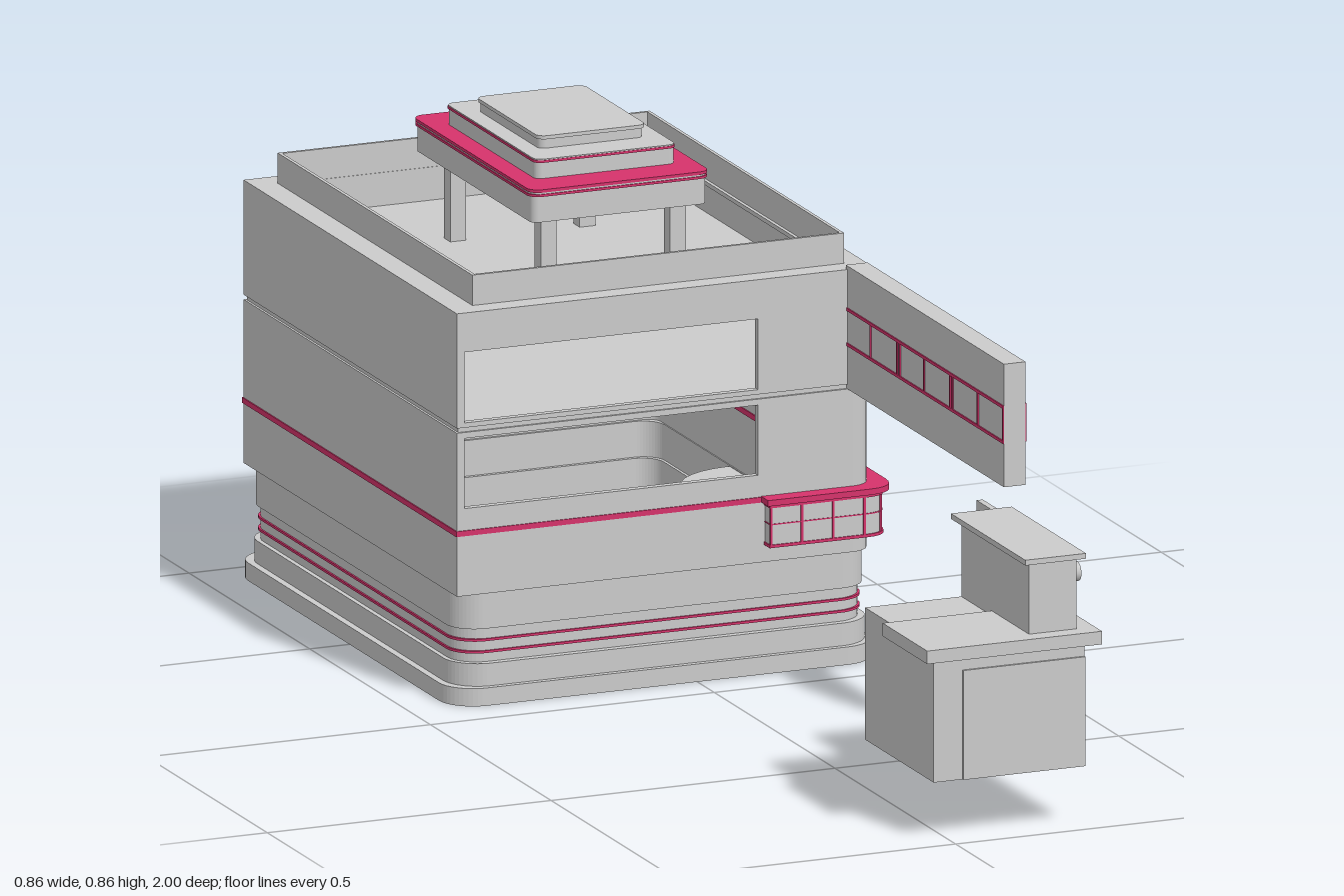
import * as THREE from 'three';

const grey = new THREE.MeshStandardMaterial({ color: 0xcccccc, side: THREE.DoubleSide });
const pink = new THREE.MeshStandardMaterial({ color: 0xd6336c, side: THREE.DoubleSide });
const CZ = -0.525; // building centre line

export function createModel() {
  const model = new THREE.Group();
  let part;
  const group = (name) => { part = new THREE.Group(); part.name = name; model.add(part); };
  const add = (name, geo, mat = grey) => {
    const m = new THREE.Mesh(geo, mat);
    m.name = name;
    part.add(m);
    return m;
  };
  // Box given by its limits
  const box = (name, x0, x1, y0, y1, z0, z1, mat) =>
    add(name, new THREE.BoxGeometry(x1 - x0, y1 - y0, z1 - z0), mat)
      .position.set((x0 + x1) / 2, (y0 + y1) / 2, (z0 + z1) / 2);
  // Rounded plan outline; rl and rr are the radii of the left-hand and right-hand ends
  const outline = (P, x0, x1, z0, z1, rl, rr) => {
    const p = new P(), a = -z1, b = -z0;
    p.moveTo(x0 + rl, a);
    p.lineTo(x1 - rr, a);
    if (rr) p.absarc(x1 - rr, a + rr, rr, -Math.PI / 2, 0);
    p.lineTo(x1, b - rr);
    if (rr) p.absarc(x1 - rr, b - rr, rr, 0, Math.PI / 2);
    p.lineTo(x0 + rl, b);
    if (rl) p.absarc(x0 + rl, b - rl, rl, Math.PI / 2, Math.PI);
    p.lineTo(x0, a + rl);
    if (rl) p.absarc(x0 + rl, a + rl, rl, Math.PI, Math.PI * 1.5);
    return p;
  };
  const extrude = (shape, depth) =>
    new THREE.ExtrudeGeometry(shape, { depth, bevelEnabled: false, curveSegments: 6 });
  const raise = (name, shape, y0, y1, mat) =>
    add(name, extrude(shape, y1 - y0).rotateX(-Math.PI / 2), mat).position.y = y0;
  const slab = (name, x0, x1, z0, z1, y0, y1, rl, rr = rl, mat) =>
    raise(name, outline(THREE.Shape, x0, x1, z0, z1, rl, rr), y0, y1, mat);
  const ring = (name, x0, x1, z0, z1, y0, y1, rl, rr, mat, t = 0.012) => {
    const s = outline(THREE.Shape, x0, x1, z0, z1, rl, rr);
    s.holes.push(outline(THREE.Path, x0 + t, x1 - t, z0 + t, z1 - t, Math.max(rl - t, 0), Math.max(rr - t, 0)));
    raise(name, s, y0, y1, mat);
  };
  // Upright panel with rectangular holes [a0, a1, b0, b1]
  const panel = (a0, a1, b0, b1, holes, t) => {
    const rect = (P, [l, r, b, u]) => new P([[l, b], [r, b], [r, u], [l, u]].map((q) => new THREE.Vector2(...q)));
    const s = rect(THREE.Shape, [a0, a1, b0, b1]);
    holes.forEach((h) => s.holes.push(rect(THREE.Path, h)));
    return extrude(s, t);
  };
  // Side panel: first axis is -z, thickness runs along +x
  const sidePanel = (name, x, z0, z1, y0, y1, holes, t) =>
    add(name, panel(-z1, -z0, y0, y1, holes.map(([a, b, c, d]) => [-b, -a, c, d]), t)
      .rotateY(Math.PI / 2)).position.x = x;

  // Stepped plinth and skirting
  group('base');
  slab('plinth', -0.43, 0.325, -0.98, -0.07, 0, 0.03, 0.06);
  slab('plinthStep', -0.418, 0.319, -0.97, -0.08, 0.03, 0.068, 0.06);
  ring('skirting', -0.41, 0.308, -0.955, -0.092, 0.068, 0.125, 0.05, 0.05);
  for (const y of [0.085, 0.105])
    ring('skirtingStripe', -0.413, 0.311, -0.958, -0.089, y - 0.002, y + 0.002, 0.05, 0.05, pink);
  ring('skirtingTop', -0.415, 0.313, -0.962, -0.086, 0.125, 0.185, 0.05, 0.05);

  // Hollow walls, two storeys with a shadow gap between them
  group('walls');
  const X0 = -0.418, X1 = 0.315, Z0 = -0.967, Z1 = -0.083, T = 0.012, R = 0.035;
  ring('lowerWall', X0, X1, Z0, Z1, 0.185, 0.32, 0, R);
  ring('wallStripe', X0 - 0.002, X1 + 0.002, Z0 - 0.002, Z1 + 0.002, 0.286, 0.295, 0, R, pink, 0.016);
  for (const [y0, y1, h0, h1, w0, w1] of [
    [0.32, 0.46, 0.332, 0.45, 0.35, 0.44],
    [0.468, 0.66, 0.476, 0.595, 0.49, 0.58]]) {
    for (const z of [Z0, Z1 - T])
      add('endWall', panel(X0, X1 - R, y0, y1, [[-0.405, 0.112, h0, h1]], T)).position.z = z;
    sidePanel('windowWall', X1 - T, Z0 + R, Z1 - R, y0, y1,
      [[-0.49, -0.208, w0, w1], [-0.83, -0.545, w0, w1]], T);
    box('blankWall', X0, X0 + T, y0, y1, Z0 + T, Z1 - T);
    for (const s of [-1, 1]) {
      const p = new THREE.Shape(), cx = X1 - R, cy = s > 0 ? -Z1 + R : -Z0 - R;
      p.absarc(cx, cy, R, s > 0 ? -Math.PI / 2 : 0, s > 0 ? 0 : Math.PI / 2);
      p.absarc(cx, cy, R - T, s > 0 ? 0 : Math.PI / 2, s > 0 ? -Math.PI / 2 : 0, true);
      raise('roundedCorner', p, y0, y1);
    }
  }
  slab('upperFloor', X0 + 0.004, X1 - 0.004, Z0 + 0.004, Z1 - 0.004, 0.459, 0.469, 0, R);

  // Sunken roof behind a low parapet
  group('roof');
  slab('roofDeck', X0 + T, X1 - T, Z0 + T, Z1 - T, 0.597, 0.605, 0, 0.02);
  ring('roofLedge', X0, X1, Z0, Z1, 0.654, 0.661, 0, R, grey, 0.047);
  ring('parapet', -0.375, 0.28, -0.927, -0.12, 0.605, 0.712, 0, 0, grey, 0.006);

  // Tiered roof tower on four legs
  group('roofTower');
  for (const x of [-0.178, 0.05])
    for (const z of [-0.7, -0.325]) box('towerLeg', x, x + 0.028, 0.605, 0.747, z, z + 0.025);
  const tier = (name, w, d, y0, y1, r, mat) =>
    slab(name, -0.055 - w, -0.055 + w, -0.505 - d, -0.505 + d, y0, y1, r, r, mat);
  tier('lowerTier', 0.154, 0.243, 0.745, 0.789, 0.012);
  tier('lowerTrim', 0.158, 0.248, 0.789, 0.793, 0.02, pink);
  tier('lowerLip', 0.156, 0.246, 0.793, 0.796, 0.02);
  tier('lowerTrim', 0.158, 0.248, 0.796, 0.801, 0.02, pink);
  tier('middleTier', 0.123, 0.185, 0.801, 0.828, 0.012);
  tier('middleTrim', 0.125, 0.188, 0.828, 0.832, 0.015, pink);
  tier('middleCap', 0.124, 0.187, 0.832, 0.834, 0.015);
  tier('upperTier', 0.092, 0.127, 0.834, 0.85, 0.012);
  tier('upperCap', 0.095, 0.131, 0.85, 0.856, 0.015);

  // Corner bays wrapping the two right-hand corners
  const wrap = (s, x0, x1, e, len, r) => {
    const y = (d) => -(CZ - 0.002 + s * d);
    const p = new THREE.Shape();
    p.moveTo(x0, y(e));
    p.lineTo(x1 - r, y(e));
    p.quadraticCurveTo(x1, y(e), x1, y(e - r));
    p.lineTo(x1, y(e - len));
    p.lineTo(0.304, y(e - len));
    p.lineTo(0.304, y(0.432));
    p.lineTo(x0, y(0.432));
    p.closePath();
    return p;
  };
  for (const s of [1, -1]) {
    group('cornerBay');
    raise('bayBody', wrap(s, 0.125, 0.333, 0.466, 0.122, 0.04), 0.217, 0.286);
    raise('bayBrim', wrap(s, 0.118, 0.346, 0.473, 0.135, 0.05), 0.286, 0.296, pink);
    for (const y of [0.214, 0.281])
      raise('bayRail', wrap(s, 0.123, 0.335, 0.468, 0.125, 0.04), y, y + 0.005, pink);
    raise('bayGlazingBar', wrap(s, 0.124, 0.334, 0.467, 0.123, 0.04), 0.252, 0.254, pink);
    const at = (x, d) => {
      const z = CZ - 0.002 + s * d;
      box('bayMullion', x - 0.002, x + 0.002, 0.216, 0.284, z - 0.002, z + 0.002, pink);
    };
    for (const x of [0.126, 0.18, 0.235, 0.29]) at(x, 0.466);
    for (const d of [0.346, 0.385, 0.424]) at(0.333, d);
    at(0.323, 0.456);
  }

  // Round counter on three columns at the right side
  group('sideCounter');
  add('counterTop', new THREE.CylinderGeometry(0.128, 0.128, 0.009, 32)).position.set(0.297, 0.179, CZ + 0.008);
  for (const i of [-1, 0, 1])
    add('counterColumn', new THREE.CylinderGeometry(0.041, 0.041, 0.16, 20))
      .position.set(i ? 0.302 : 0.321, 0.095, CZ + 0.008 + i * 0.09);

  // Projecting sign blade with framed panes on both faces
  group('signBlade');
  box('signBoard', 0.27, 0.308, 0.46, 0.667, -0.09, 0.565);
  for (const x of [0.268, 0.308]) {
    for (const y of [0.533, 0.592]) box('signRail', x, x + 0.002, y, y + 0.005, -0.09, 0.565, pink);
    for (const z of [-0.09, 0.012, 0.122, 0.134, 0.235, 0.343, 0.353, 0.457, 0.561])
      box('signMullion', x, x + 0.002, 0.533, 0.597, z, z + 0.004, pink);
  }

  // Freestanding notice board
  group('noticeBoard');
  box('boardPanel', 0.396, 0.404, 0.04, 0.32, 0.155, 0.245);
  box('boardBack', 0.39, 0.396, 0.05, 0.25, 0.185, 0.215);
  for (const z of [0.155, 0.239]) box('boardFrame', 0.404, 0.407, 0.04, 0.32, z, z + 0.006);
  for (const y of [0.04, 0.314]) box('boardFrame', 0.404, 0.407, y, y + 0.006, 0.155, 0.245);
  for (let i = 0; i < 4; i++) box('boardMark', 0.404, 0.406, 0.09 + i * 0.05, 0.105 + i * 0.05, 0.194, 0.206);

  // Cooker with an open cavity, worktop and control column
  group('cooker');
  box('cookerFloor', -0.028, 0.238, 0.1, 0.107, 0.69, 0.975);
  box('cookerTop', -0.028, 0.238, 0.298, 0.308, 0.69, 0.975);
  box('cookerLeft', -0.028, -0.02, 0.107, 0.298, 0.69, 0.975);
  box('cookerBack', -0.02, 0.238, 0.107, 0.298, 0.69, 0.698);
  box('cookerFront', -0.02, 0.238, 0.107, 0.298, 0.967, 0.975);
  box('frontPanel', 0.023, 0.238, 0.1, 0.284, 0.975, 0.979);
  sidePanel('ovenSurround', 0.23, 0.698, 0.967, 0.107, 0.298, [[0.745, 0.96, 0.109, 0.286]], 0.008);
  box('ventFrame', 0.02, 0.12, 0.235, 0.275, 0.687, 0.69);
  box('ventSlot', 0.026, 0.114, 0.241, 0.269, 0.685, 0.687);
  box('worktop', -0.05, 0.258, 0.308, 0.33, 0.815, 1.0);
  box('rearTop', -0.028, 0.238, 0.308, 0.322, 0.69, 0.815);
  box('controlColumn', 0.142, 0.226, 0.322, 0.45, 0.69, 0.97);
  box('columnCap', 0.13, 0.237, 0.45, 0.459, 0.675, 0.983);
  for (let i = 0; i < 4; i++)
    add('controlKnob', new THREE.CylinderGeometry(0.016, 0.016, 0.015, 16).rotateZ(Math.PI / 2))
      .position.set(0.233, 0.418, 0.727 + i * 0.071);

  return model;
}
